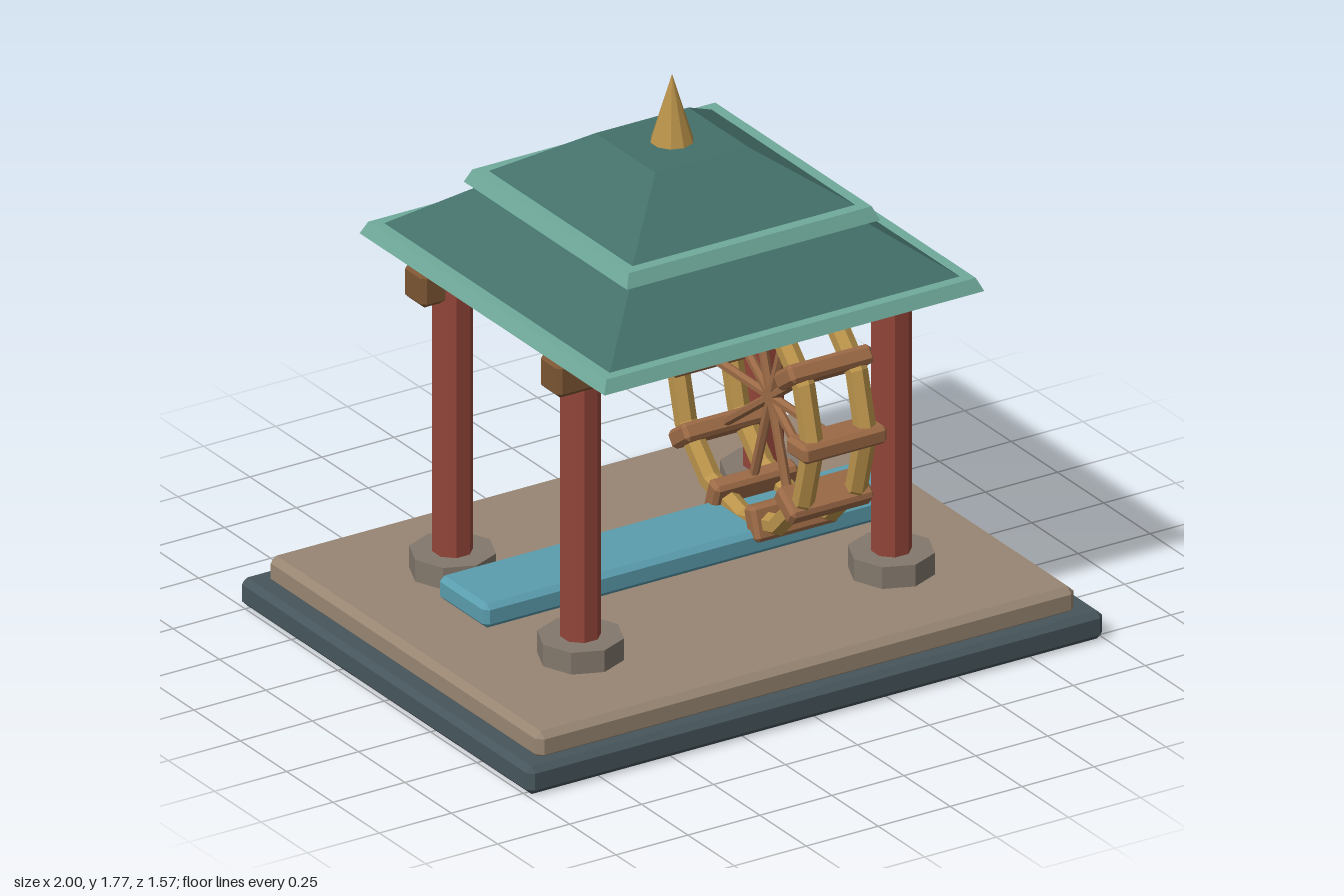
import * as THREE from 'three';
import { ConvexGeometry } from 'three/addons/geometries/ConvexGeometry.js';

const palette = {
  slate: 0x47565c, stone: 0x988673, footingStone: 0x83786c, redWood: 0x944639, beamWood: 0x7c5533,
  roofGreen: 0x44706a, trimGreen: 0x70aa9b, gold: 0xb9924a, wheelWood: 0x9c6a46, water: 0x5a9dae,
};

// Turn a smooth indexed geometry into a faceted one
function faceted(geometry) {
  const flat = geometry.toNonIndexed();
  flat.computeVertexNormals();
  return flat;
}

// Box with every edge chamfered by b
function chamferBox(w, h, d, b) {
  const points = [];
  for (const sx of [-1, 1]) for (const sy of [-1, 1]) for (const sz of [-1, 1]) {
    const [x, y, z] = [w / 2, h / 2, d / 2];
    points.push(
      new THREE.Vector3(sx * x, sy * (y - b), sz * (z - b)),
      new THREE.Vector3(sx * (x - b), sy * y, sz * (z - b)),
      new THREE.Vector3(sx * (x - b), sy * (y - b), sz * z));
  }
  return new ConvexGeometry(points);
}

// Upright prism or cone between two heights
function prism(rTop, rBottom, y0, y1, sides, turn = 0) {
  const g = new THREE.CylinderGeometry(rTop, rBottom, y1 - y0, sides);
  g.rotateY(turn);
  g.translate(0, (y0 + y1) / 2, 0);
  return faceted(g);
}

// Square frustum given by its half widths
const squareFrustum = (top, bottom, y0, y1) =>
  prism(top * Math.SQRT2, bottom * Math.SQRT2, y0, y1, 4, Math.PI / 4);

export function createModel() {
  const model = new THREE.Group();
  model.name = 'waterWheelPavilion';
  const mats = {};
  for (const [name, color] of Object.entries(palette)) {
    mats[name] = new THREE.MeshStandardMaterial({ color });
    mats[name].name = name;
  }
  const add = (parent, name, geometry, mat, x = 0, y = 0, z = 0) => {
    const mesh = new THREE.Mesh(geometry, mats[mat]);
    mesh.name = name;
    mesh.position.set(x, y, z);
    parent.add(mesh);
    return mesh;
  };

  // Stepped base and water channel
  add(model, 'base', chamferBox(2, 0.09, 1.57, 0.018), 'slate', 0, 0.045);
  add(model, 'plinth', chamferBox(1.87, 0.09, 1.465, 0.02), 'stone', 0, 0.12);
  add(model, 'waterChannel', chamferBox(1.465, 0.078, 0.26, 0.016), 'water', 0, 0.249);

  // Columns on octagonal footings
  const footing = prism(0.13, 0.13, 0.16, 0.235, 8);
  const column = prism(0.061, 0.061, 0.23, 1.165, 8, Math.PI / 8);
  for (const x of [-0.54, 0.54]) for (const z of [-0.345, 0.345]) {
    add(model, 'footing', footing, 'footingStone', x, 0, z);
    add(model, 'column', column, 'redWood', x, 0, z);
  }

  // Front and back beams
  const beam = chamferBox(1.33, 0.11, 0.11, 0.014);
  for (const z of [-0.366, 0.366]) add(model, 'beam', beam, 'beamWood', 0, 1.108, z);

  // Two-tiered roof with pale eaves and a finial
  const roof = new THREE.Group();
  roof.name = 'roof';
  model.add(roof);
  add(roof, 'lowerEave', squareFrustum(0.642, 0.66, 1.162, 1.202), 'trimGreen');
  add(roof, 'lowerRoof', squareFrustum(0.395, 0.608, 1.202, 1.36), 'roofGreen');
  add(roof, 'upperEave', squareFrustum(0.422, 0.44, 1.36, 1.402), 'trimGreen');
  add(roof, 'upperRoof', squareFrustum(0.162, 0.387, 1.402, 1.556), 'roofGreen');
  add(roof, 'finial', prism(0, 0.065, 1.556, 1.77, 10), 'gold');

  // Water wheel turning about the x axis
  const wheel = new THREE.Group();
  wheel.name = 'waterWheel';
  wheel.position.set(0.345, 0.64, 0);
  model.add(wheel);
  const rim = faceted(new THREE.TorusGeometry(0.367, 0.034, 6, 12).rotateY(Math.PI / 2));
  for (const x of [-0.092, 0.092]) add(wheel, 'rim', rim, 'gold', x);
  const spoke = prism(0.015, 0.015, 0, 0.36, 6);
  const paddle = chamferBox(0.29, 0.11, 0.058, 0.012);
  paddle.translate(0, 0.352, 0);
  for (let i = 0; i < 10; i++) {
    const angle = (i + 0.5) * Math.PI / 5;
    add(wheel, 'spoke', spoke, 'wheelWood').rotation.x = angle;
    add(wheel, 'paddle', paddle, 'wheelWood').rotation.x = angle;
  }
  return model;
}
